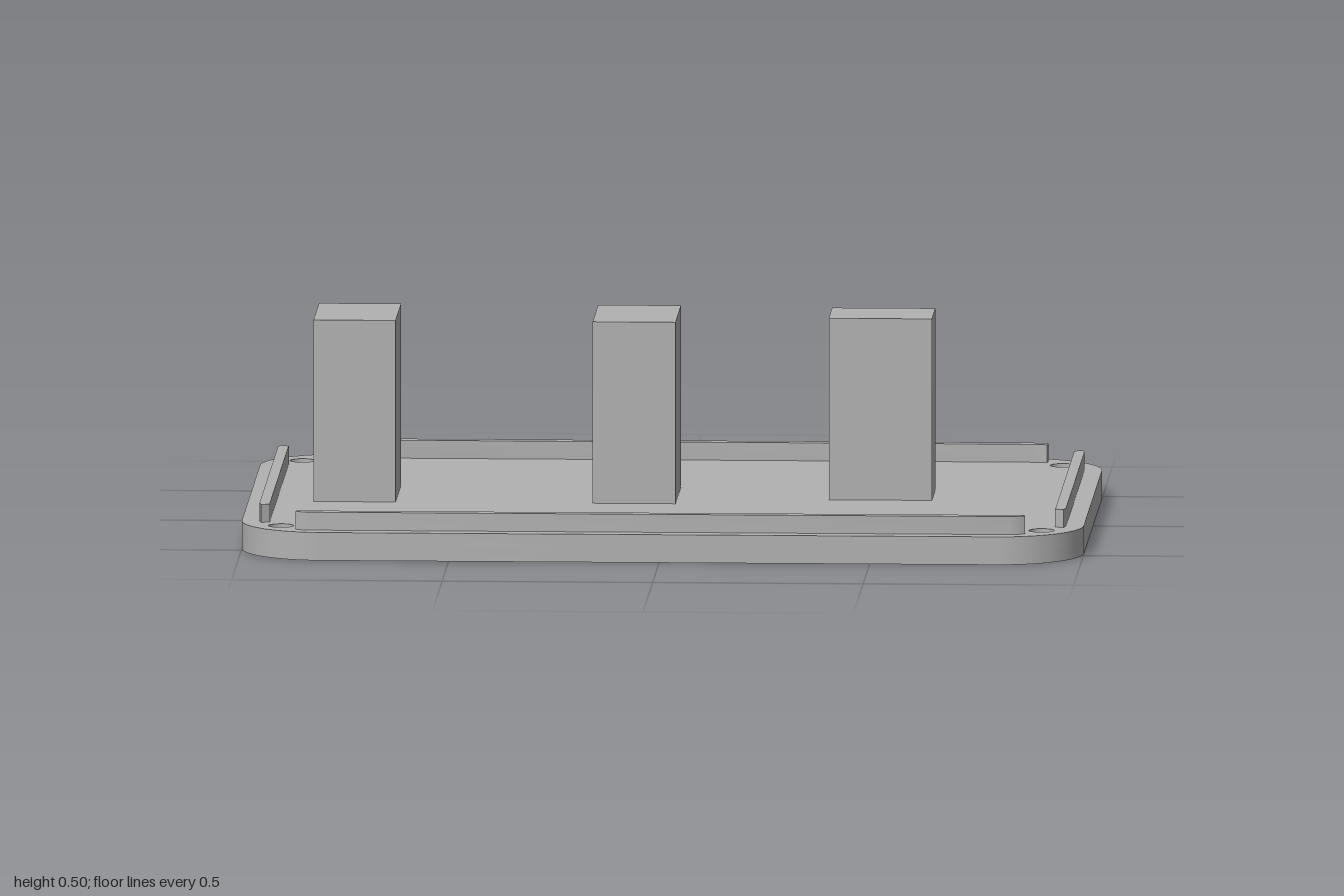
import * as THREE from 'three';
import { toCreasedNormals } from 'three/addons/utils/BufferGeometryUtils.js';

const HALF_X = 1, HALF_Z = 0.665, CORNER = 0.2;
const PLATE_TOP = 0.067, BORE_DEPTH = 0.03;
const HOLE_X = 0.903, HOLE_Z = 0.55;

export function createModel() {
  const model = new THREE.Group();
  const grey = new THREE.MeshStandardMaterial({ color: 0xb2b2b2 });
  grey.name = 'light grey';

  const add = (name, geometry) => {
    const mesh = new THREE.Mesh(geometry, grey);
    mesh.name = name;
    model.add(mesh);
    return mesh;
  };

  // Extrude a plan outline (x, z) upward from y0 to y1
  const slab = (shape, y0, y1) => {
    const g = new THREE.ExtrudeGeometry(shape, { depth: y1 - y0, bevelEnabled: false, curveSegments: 16 });
    g.rotateX(-Math.PI / 2).translate(0, y0, 0);
    return toCreasedNormals(g, 0.6);
  };

  // Rounded plate outline with four screw holes
  const plateShape = (holeRadius) => {
    const s = new THREE.Shape();
    const cx = HALF_X - CORNER, cz = HALF_Z - CORNER, q = Math.PI / 2;
    s.absarc(cx, cz, CORNER, 0, q);
    s.absarc(-cx, cz, CORNER, q, 2 * q);
    s.absarc(-cx, -cz, CORNER, 2 * q, 3 * q);
    s.absarc(cx, -cz, CORNER, 3 * q, 4 * q);
    s.closePath();
    for (const sx of [-1, 1]) for (const sz of [-1, 1]) {
      s.holes.push(new THREE.Path().absarc(sx * HOLE_X, sz * HOLE_Z, holeRadius, 0, Math.PI * 2, true));
    }
    return s;
  };

  // Plate: wide counterbores below, narrow screw holes above
  add('plateLower', slab(plateShape(0.043), 0, BORE_DEPTH));
  add('plateUpper', slab(plateShape(0.03), BORE_DEPTH, PLATE_TOP));

  // Locating rails along each edge, their ends curving inward at the corners
  const longRail = [[0.83, 0.625], [0.852, 0.62], [0.866, 0.611], [0.864, 0.591], [0.83, 0.598]];
  const sideRail = [[0.958, 0.47], [0.953, 0.502], [0.932, 0.49], [0.933, 0.47]];
  const railGeometry = (half, mirror) => {
    const pts = [...half, ...half.map(mirror).reverse()].map(([x, z]) => new THREE.Vector2(x, z));
    return slab(new THREE.Shape(pts), PLATE_TOP, 0.11);
  };
  const longGeometry = railGeometry(longRail, ([x, z]) => [-x, z]);
  const sideGeometry = railGeometry(sideRail, ([x, z]) => [x, -z]);
  add('backRail', longGeometry);
  add('frontRail', longGeometry).rotation.y = Math.PI;
  add('leftRail', sideGeometry);
  add('rightRail', sideGeometry).rotation.y = Math.PI;

  // Upright support posts: x0, x1, z0, z1
  const posts = {
    rightPost: [-0.845, -0.65, -0.143, 0.141],
    middlePost: [-0.182, 0.015, -0.143, 0.141],
    leftPost: [0.375, 0.62, -0.122, 0.057],
  };
  for (const [name, [x0, x1, z0, z1]] of Object.entries(posts)) {
    const h = 0.502 - PLATE_TOP;
    add(name, new THREE.BoxGeometry(x1 - x0, h, z1 - z0))
      .position.set((x0 + x1) / 2, PLATE_TOP + h / 2, (z0 + z1) / 2);
  }

  return model;
}
